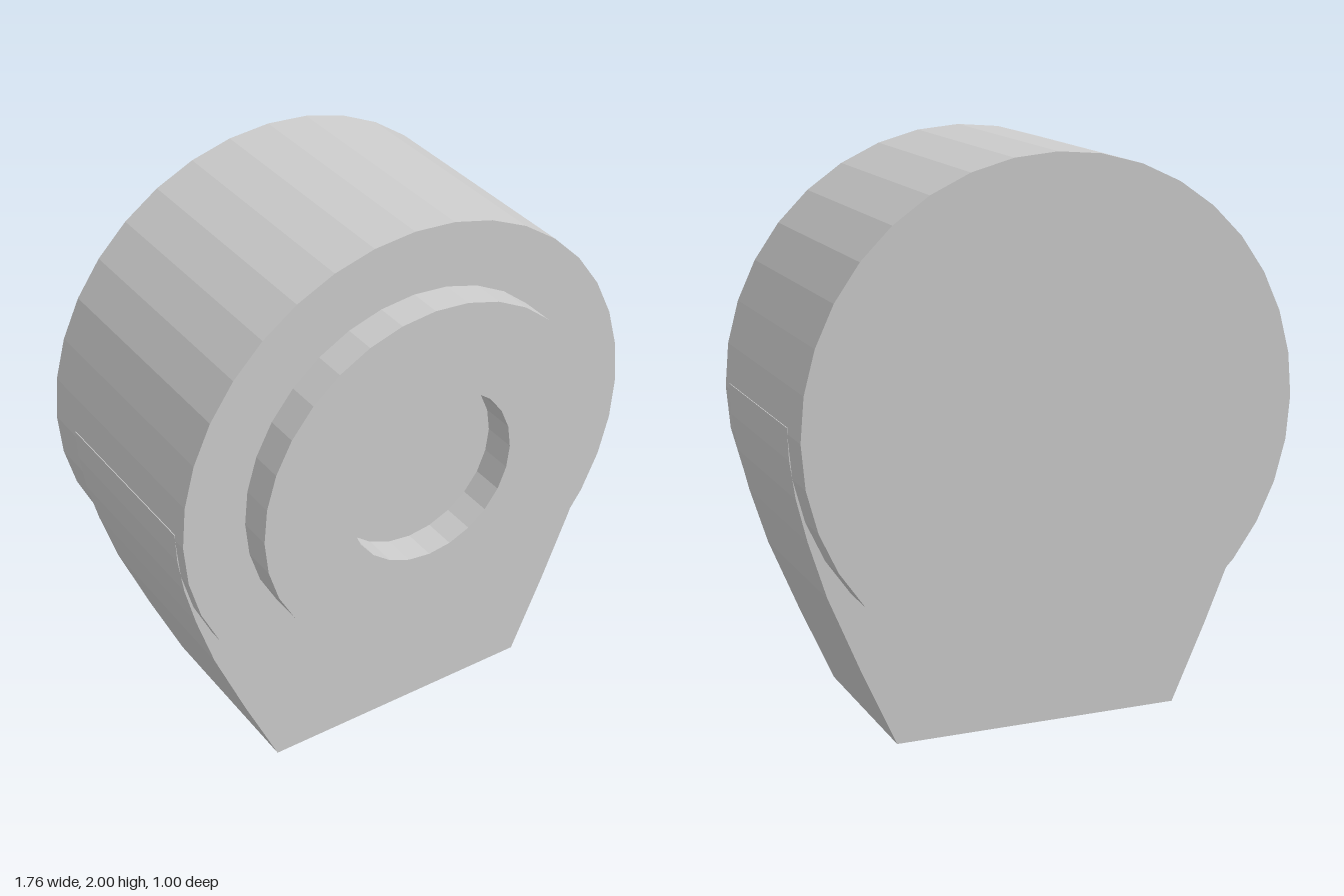
import * as THREE from 'three';

export function createModel() {
  const group = new THREE.Group();
  group.name = 'roundHousing';
  const grey = new THREE.MeshStandardMaterial({ color: 0xcccccc });
  grey.name = 'light grey';
  grey.flatShading = true;
  const axisY = 1.12;

  const add = (name, geometry, y, z) => {
    const mesh = new THREE.Mesh(geometry, grey);
    mesh.name = name;
    mesh.position.set(0, y, z);
    group.add(mesh);
  };

  // points of a regular polygon
  const circle = (r, n) => Array.from({ length: n }, (_, i) => {
    const a = (i / n) * Math.PI * 2;
    return new THREE.Vector2(r * Math.cos(a), r * Math.sin(a));
  });

  // main drum, lying along z
  add('drum', new THREE.CylinderGeometry(0.88, 0.88, 0.88, 36).rotateX(Math.PI / 2), axisY, -0.06);

  // raised front ring around a shallow round recess
  const ring = new THREE.Shape(circle(0.65, 32));
  ring.holes.push(new THREE.Path(circle(0.325, 24)));
  add('frontRing', new THREE.ExtrudeGeometry(ring, { depth: 0.12, bevelEnabled: false }), axisY, 0.38);

  // foot: straight flanks easing into the drum's sides
  const flank = [[0.52, 0], [0.645, 0.28], [0.757, 0.55], [0.82, 0.75], [0.857, 0.9], [0.876, 1.03], [0.881, 1.14]];
  const outline = [
    ...flank.map(([x, y]) => new THREE.Vector2(x, y)),
    ...flank.slice().reverse().map(([x, y]) => new THREE.Vector2(-x, y)),
  ];
  add('foot', new THREE.ExtrudeGeometry(new THREE.Shape(outline), { depth: 0.685, bevelEnabled: false }), 0, -0.357);

  return group;
}
